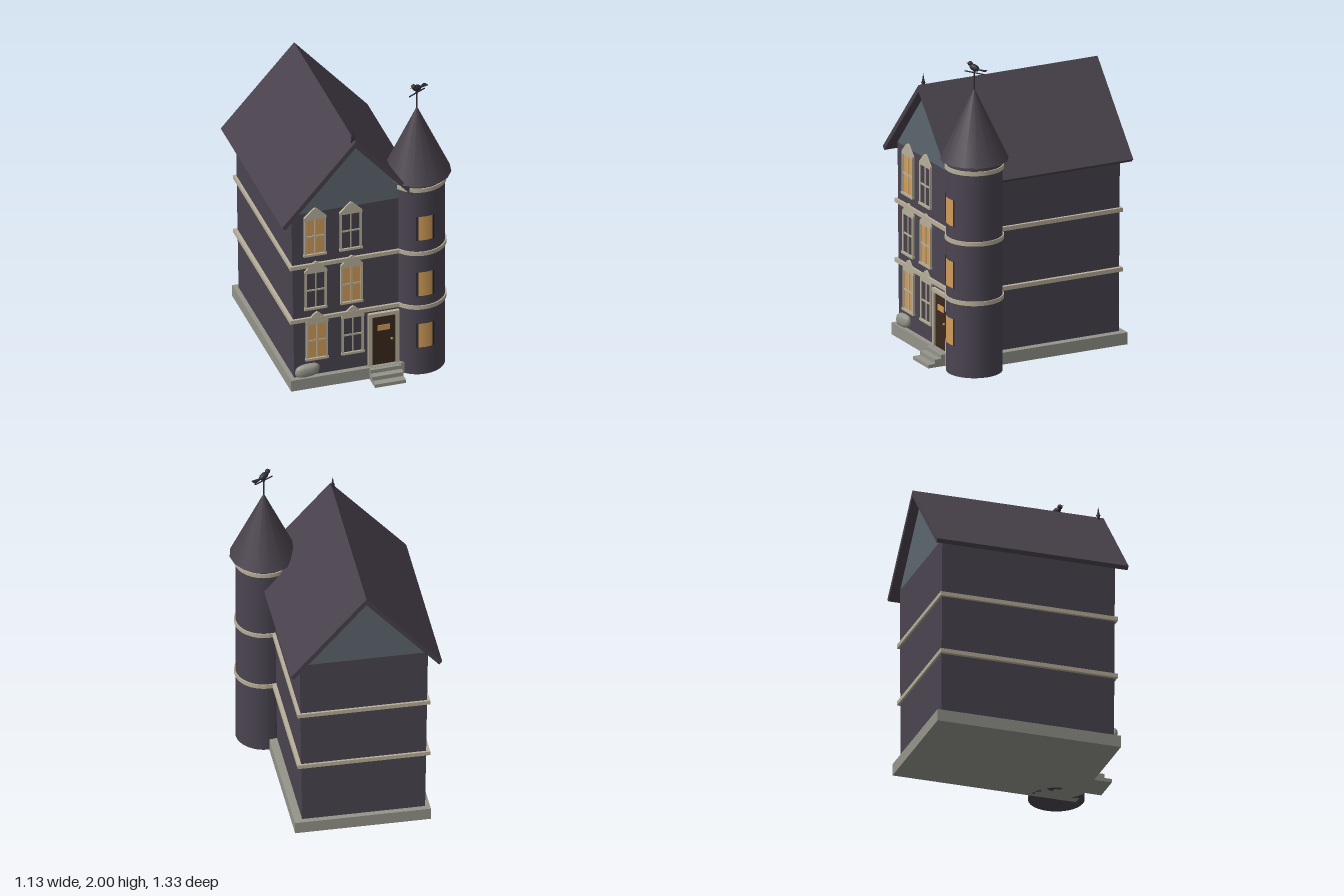
import * as THREE from 'three';

const mat = (name, color) => {
  const m = new THREE.MeshStandardMaterial({ color, side: THREE.DoubleSide });
  m.name = name;
  return m;
};

export function createModel() {
  const wall = mat('plum wall', 0x4a4450);
  const roofMat = mat('roof slate', 0x48414b);
  const gableMat = mat('blue gable', 0x5c666e);
  const trim = mat('cream trim', 0xb8af9a);
  const stone = mat('grey stone', 0x94948a);
  const lit = mat('lit glass', 0xd09c58);
  const dark = mat('dark glass', 0x46404c);
  const wood = mat('door wood', 0x3a291d);
  const iron = mat('iron', 0x2f2b34);
  const brass = mat('brass', 0xa9803c);

  const root = new THREE.Group();
  root.name = 'towerHouse';
  const add = (name, geo, material, x = 0, y = 0, z = 0, parent = root) => {
    const m = new THREE.Mesh(geo, material);
    m.name = name;
    m.position.set(x, y, z);
    parent.add(m);
    return m;
  };
  // box given by its limits
  const box = (name, material, x0, x1, y0, y1, z0, z1, parent) =>
    add(name, new THREE.BoxGeometry(x1 - x0, y1 - y0, z1 - z0), material,
      (x0 + x1) / 2, (y0 + y1) / 2, (z0 + z1) / 2, parent);
  // flat outline pushed along z
  const prism = (name, material, pts, z0, z1, parent) =>
    add(name, new THREE.ExtrudeGeometry(
      new THREE.Shape(pts.map(p => new THREE.Vector2(...p))),
      { depth: z1 - z0, bevelEnabled: false }), material, 0, 0, z0, parent);

  const FRONT = 0.515, BACK = -0.61;

  // main house
  box('foundation', stone, -0.505, 0.345, 0.005, 0.082, -0.645, 0.55);
  prism('walls', wall, [[-0.475, 0.08], [0.295, 0.08], [0.31, 1.25], [-0.493, 1.25]], BACK, FRONT);
  prism('gable', gableMat, [[-0.493, 1.25], [0.305, 1.25], [-0.0975, 1.705]], BACK, FRONT);
  prism('roof', roofMat, [[-0.572, 1.21], [-0.552, 1.19], [-0.0975, 1.70],
    [0.357, 1.19], [0.377, 1.21], [-0.0975, 1.743]], -0.668, 0.577);
  for (const y of [0.475, 0.861])
    box('beltCourse', trim, -0.505, 0.325, y, y + 0.026, BACK - 0.014, FRONT + 0.016);

  // ridge finial
  add('finial', new THREE.LatheGeometry([[0.001, 0], [0.014, 0], [0.009, 0.025], [0.014, 0.035],
    [0.008, 0.045], [0.001, 0.09]].map(p => new THREE.Vector2(...p)), 10), iron, -0.105, 1.718, 0.54);

  // sash windows with pointed heads
  const sashWindow = (x, y, glass) => {
    const g = new THREE.Group();
    g.name = 'window';
    g.position.set(x, y, FRONT);
    root.add(g);
    const w = 0.071, h = 0.265, t = 0.013;
    box('glass', glass, -w + t, w - t, 0, h, 0, 0.006, g);
    for (const s of [-1, 1])
      box('jamb', trim, s * (w - t / 2) - t / 2, s * (w - t / 2) + t / 2, 0, h, 0, 0.014, g);
    box('sill', trim, -w - 0.003, w + 0.003, -0.003, 0.012, 0, 0.018, g);
    box('meetingRail', trim, -w + t, w - t, 0.129, 0.14, 0, 0.011, g);
    box('mullion', trim, -0.005, 0.005, 0, h, 0, 0.01, g);
    prism('windowHead', trim, [[-w - 0.002, h - 0.008], [w + 0.002, h - 0.008], [w + 0.002, h + 0.008],
      [0.015, h + 0.065], [0, h + 0.074], [-0.015, h + 0.065], [-w - 0.002, h + 0.008]], 0, 0.014, g);
  };
  [[-0.343, 0.945, lit], [-0.111, 0.945, dark], [-0.338, 0.56, dark],
    [-0.106, 0.56, lit], [-0.33, 0.195, lit], [-0.098, 0.195, dark]].forEach(a => sashWindow(...a));

  // door and steps
  for (const x of [0.012, 0.188]) box('doorJamb', trim, x - 0.012, x + 0.012, 0.08, 0.45, FRONT, FRONT + 0.02);
  box('doorLintel', trim, 0, 0.2, 0.43, 0.455, FRONT, FRONT + 0.022);
  box('door', wood, 0.024, 0.176, 0.08, 0.43, FRONT, FRONT + 0.009);
  box('doorPane', lit, 0.06, 0.14, 0.325, 0.363, FRONT, FRONT + 0.013);
  add('doorKnob', new THREE.SphereGeometry(0.009, 10, 8), brass, 0.152, 0.257, FRONT + 0.016);
  [[0.055, 0.08, 0.575], [0.028, 0.055, 0.617], [0.005, 0.028, 0.665]].forEach(([y0, y1, z]) =>
    box('step', stone, 0, 0.2, y0, y1, 0.5, z));

  // boulder beside the wall
  const rock = new THREE.SphereGeometry(1, 14, 10);
  const p = rock.attributes.position;
  for (let i = 0; i < p.count; i++) {
    const x = p.getX(i), y = p.getY(i), z = p.getZ(i);
    const sq = v => Math.sign(v) * Math.pow(Math.abs(v), 0.75);
    p.setXYZ(i, sq(x) * 0.08, sq(y) * 0.043 + x * 0.008, z * 0.03);
  }
  rock.computeVertexNormals();
  add('boulder', rock, stone, -0.393, 0.125, 0.525);

  // round tower
  const tower = new THREE.Group();
  tower.name = 'tower';
  tower.position.set(0.348, 0, 0.4225);
  root.add(tower);
  add('towerWall', new THREE.CylinderGeometry(0.175, 0.175, 1.375, 32), wall, 0, 0.6925, 0, tower);
  for (const y of [0.488, 0.874, 1.33])
    add('towerBand', new THREE.CylinderGeometry(0.183, 0.183, 0.027, 32), trim, 0, y, 0, tower);
  add('towerRoof', new THREE.ConeGeometry(0.213, 0.455, 16), roofMat, 0, 1.6025, 0, tower);
  const curved = (name, material, r, y, h, a0, a1) =>
    add(name, new THREE.CylinderGeometry(r, r, h, 6, 1, true, a0, a1 - a0), material, 0, y, 0, tower);
  for (const y of [0.285, 0.655, 1.055]) {
    curved('towerWindow', lit, 0.1775, y, 0.17, -0.26, 0.26);
    for (const s of [-1, 1]) {
      const a = s > 0 ? 0.44 : -0.76;
      curved('shutter', wall, 0.181, y, 0.17, a, a + 0.32);
      const b = s > 0 ? 0.26 : -0.34;
      curved('windowJamb', iron, 0.179, y, 0.175, b, b + 0.08);
    }
  }

  // bird weathervane
  add('vaneRod', new THREE.CylinderGeometry(0.004, 0.005, 0.14, 8), iron, 0, 1.885, 0, tower);
  const vane = new THREE.Group();
  vane.name = 'weathervane';
  vane.rotation.y = Math.PI / 6;
  tower.add(vane);
  box('vaneBar', iron, -0.07, 0.07, 1.926, 1.932, -0.003, 0.003, vane);
  const body = add('birdBody', new THREE.SphereGeometry(1, 14, 10), iron, 0, 1.962, 0, vane);
  body.scale.set(0.036, 0.021, 0.02);
  body.rotation.z = -0.3;
  add('birdHead', new THREE.SphereGeometry(0.016, 12, 8), iron, -0.03, 1.984, 0, vane);
  const beak = add('birdBeak', new THREE.ConeGeometry(0.006, 0.02, 6), brass, -0.052, 1.983, 0, vane);
  beak.rotation.z = Math.PI / 2;
  const tail = add('birdTail', new THREE.CylinderGeometry(0.02, 0.008, 0.06, 4, 1), iron, 0.055, 1.953, 0, vane);
  tail.rotation.z = -Math.PI / 2;
  tail.scale.set(0.2, 1, 1);
  for (const z of [-0.008, 0.008])
    add('birdLeg', new THREE.CylinderGeometry(0.002, 0.002, 0.025, 5), iron, 0, 1.938, z, vane);

  return root;
}
